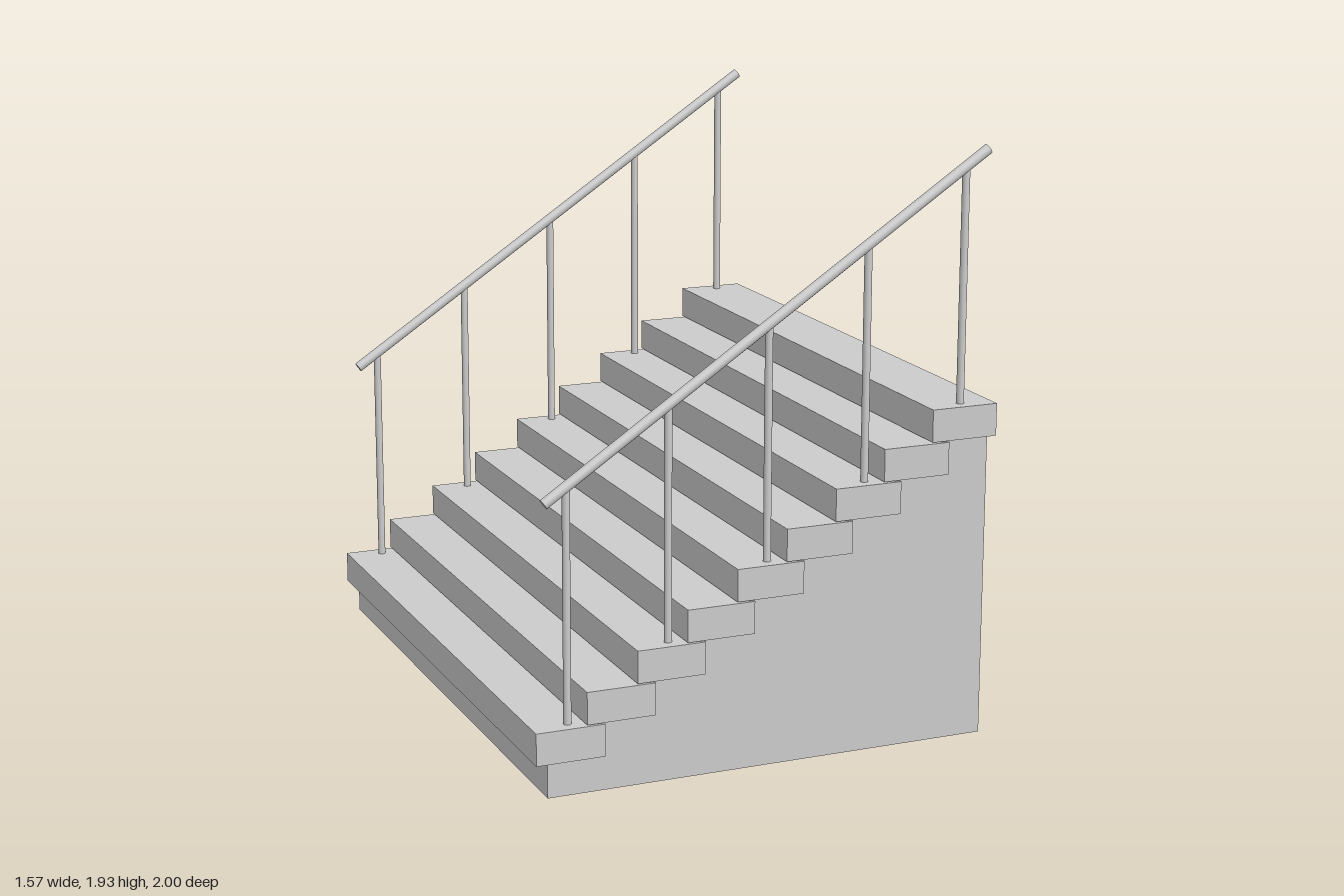
import * as THREE from 'three';

const STEPS = 9, RUN = 0.1673, RISE = 0.1107;
const TREAD_W = 0.227, TREAD_H = 0.106;
const FIRST_X = -0.671, FIRST_Y = 0.113; // centre and underside of the lowest tread
const RAIL_Z = 0.953;

const material = new THREE.MeshStandardMaterial({ color: 0xcccccc });

function add(parent, geometry, name, x = 0, y = 0, z = 0) {
  const mesh = new THREE.Mesh(geometry, material);
  mesh.name = name;
  mesh.position.set(x, y, z);
  parent.add(mesh);
  return mesh;
}

// Solid stepped base, extruded across the width
function baseGeometry() {
  const left = -0.745, right = 0.754, depth = 1.98;
  const shape = new THREE.Shape();
  shape.moveTo(right, 0);
  shape.lineTo(right, FIRST_Y + (STEPS - 1) * RISE);
  for (let i = STEPS - 1; i >= 0; i--) {
    const x = left + i * RUN;
    shape.lineTo(x, FIRST_Y + i * RISE);
    shape.lineTo(x, i > 0 ? FIRST_Y + (i - 1) * RISE : 0);
  }
  shape.closePath();
  return new THREE.ExtrudeGeometry(shape, { depth, bevelEnabled: false }).translate(0, 0, -depth / 2);
}

// Sloping handrail carried by a post on every second tread
function createRailing(name, z) {
  const railing = new THREE.Group();
  railing.name = name;
  const start = new THREE.Vector2(-0.737, 0.927), end = new THREE.Vector2(0.75, 1.914);
  const span = end.clone().sub(start);

  const rail = add(railing, new THREE.CylinderGeometry(0.017, 0.017, span.length(), 16), 'handrail',
    (start.x + end.x) / 2, (start.y + end.y) / 2, z);
  rail.rotation.z = span.angle() - Math.PI / 2;

  for (let i = 0; i < STEPS; i += 2) {
    const x = FIRST_X + 0.006 + i * RUN;
    const bottom = FIRST_Y + TREAD_H + i * RISE;
    const top = start.y + (x - start.x) * span.y / span.x;
    add(railing, new THREE.CylinderGeometry(0.0125, 0.0125, top - bottom, 16), 'railPost',
      x, (top + bottom) / 2, z);
  }
  return railing;
}

export function createModel() {
  const model = new THREE.Group();
  model.name = 'staircase';
  add(model, baseGeometry(), 'steppedBase');

  // Overhanging treads
  const tread = new THREE.BoxGeometry(TREAD_W, TREAD_H, 2);
  for (let i = 0; i < STEPS; i++) {
    add(model, tread, 'tread', FIRST_X + i * RUN, FIRST_Y + TREAD_H / 2 + i * RISE);
  }

  model.add(createRailing('frontRailing', RAIL_Z), createRailing('backRailing', -RAIL_Z));
  return model;
}
